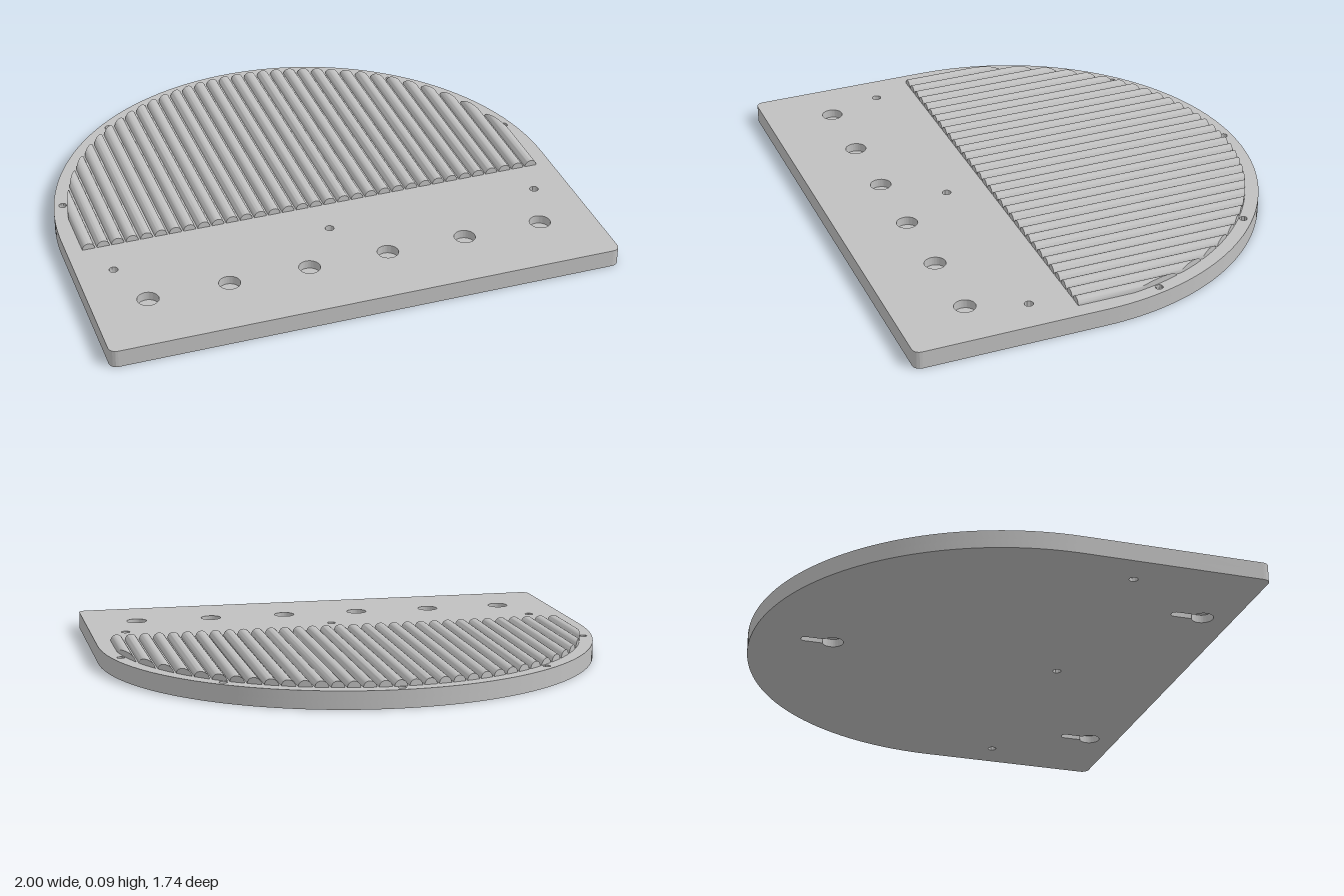
import * as THREE from 'three';
import { toCreasedNormals } from 'three/addons/utils/BufferGeometryUtils.js';

const CZ = 0.13;       // z of the centre of the round end
const TOP = 0.07;      // plate thickness
const RIB_ARC = 0.947; // radius of the arc that trims the ribs

// Shapes are drawn in plan, with shape y = -z
function plateShape() {
  const s = new THREE.Shape();
  const c = 0.03;
  s.moveTo(-1 + c, -0.87);
  s.lineTo(1 - c, -0.87);
  s.absarc(1 - c, -0.87 + c, c, -Math.PI / 2, 0);
  s.lineTo(1, -CZ);
  s.absarc(0, -CZ, 1, 0, Math.PI);
  s.lineTo(-1, -0.87 + c);
  s.absarc(-1 + c, -0.87 + c, c, Math.PI, Math.PI * 1.5);
  return s;
}

function roundHole(x, z, r) {
  const p = new THREE.Path();
  p.absarc(x, -z, r, 0, Math.PI * 2, true);
  return p;
}

// Round entry with a narrower slot towards the back
function keyhole(x, z) {
  const p = new THREE.Path();
  const r = 0.042, w = 0.018, length = 0.11;
  const a = Math.acos(w / r);
  p.absarc(x, -z, r, a, Math.PI - a, true);
  p.absarc(x, -z + length, w, Math.PI, 0, true);
  p.closePath();
  return p;
}

function layer(name, y0, y1, holes, material) {
  const shape = plateShape();
  shape.holes.push(...holes);
  const g = new THREE.ExtrudeGeometry(shape, { depth: y1 - y0, bevelEnabled: false, curveSegments: 48 });
  g.rotateX(-Math.PI / 2);
  g.translate(0, y0, 0);
  const mesh = new THREE.Mesh(toCreasedNormals(g, 0.6), material);
  mesh.name = name;
  return mesh;
}

// Half-round rib, square at the front and trimmed by the arc at the back
function ribGeometry(cx, r, zFront) {
  const n = 14, pos = [];
  const quad = (a, b, c, d) => pos.push(...a, ...b, ...c, ...a, ...c, ...d);
  const section = (i) => {
    const t = (i / n) * Math.PI;
    const x = cx + r * Math.cos(t), y = TOP + r * Math.sin(t);
    const zBack = CZ - Math.sqrt(Math.max(0, RIB_ARC ** 2 - x * x));
    return { F: [x, y, zFront], B: [x, y, zBack], f: [x, TOP, zFront], b: [x, TOP, zBack] };
  };
  for (let i = 0; i < n; i++) {
    const p = section(i), q = section(i + 1);
    quad(p.F, p.B, q.B, q.F);
    quad(p.f, p.F, q.F, q.f);
    quad(q.b, q.B, p.B, p.b);
  }
  const g = new THREE.BufferGeometry();
  g.setAttribute('position', new THREE.Float32BufferAttribute(pos, 3));
  return toCreasedNormals(g, 0.6);
}

export function createModel() {
  const group = new THREE.Group();
  group.name = 'ribbedBoard';
  const grey = new THREE.MeshStandardMaterial({ color: 0xc0c0c0 });
  grey.name = 'grey';

  // Screw holes pass through every layer
  const screwHoles = () => [-0.858, 0, 0.858].map((x) => roundHole(x, 0.38, 0.017));

  // Blind holes in the upper face: front row and rim
  const blind = [];
  for (let i = 0; i < 6; i++) blind.push(roundHole(-0.785 + i * 0.314, 0.6, 0.041));
  for (const deg of [14, 50, 90, 130, 166]) {
    const t = THREE.MathUtils.degToRad(deg);
    blind.push(roundHole(0.965 * Math.cos(t), CZ - 0.965 * Math.sin(t), 0.015));
  }

  // Hanging slots in the underside
  const slots = [[-0.63, 0.75], [0.63, 0.75], [0, -0.55]].map(([x, z]) => keyhole(x, z));

  group.add(layer('plateUnderside', 0, 0.032, [...screwHoles(), ...slots], grey));
  group.add(layer('plateCore', 0.032, 0.036, screwHoles(), grey));
  group.add(layer('plateTop', 0.036, TOP, [...screwHoles(), ...blind], grey));

  // Row of ribs
  const ribs = new THREE.Group();
  ribs.name = 'ribs';
  for (let i = -16; i <= 16; i++) {
    const rib = new THREE.Mesh(ribGeometry(i * 0.0571, 0.0245, 0.22), grey);
    rib.name = 'rib';
    ribs.add(rib);
  }
  group.add(ribs);
  return group;
}
